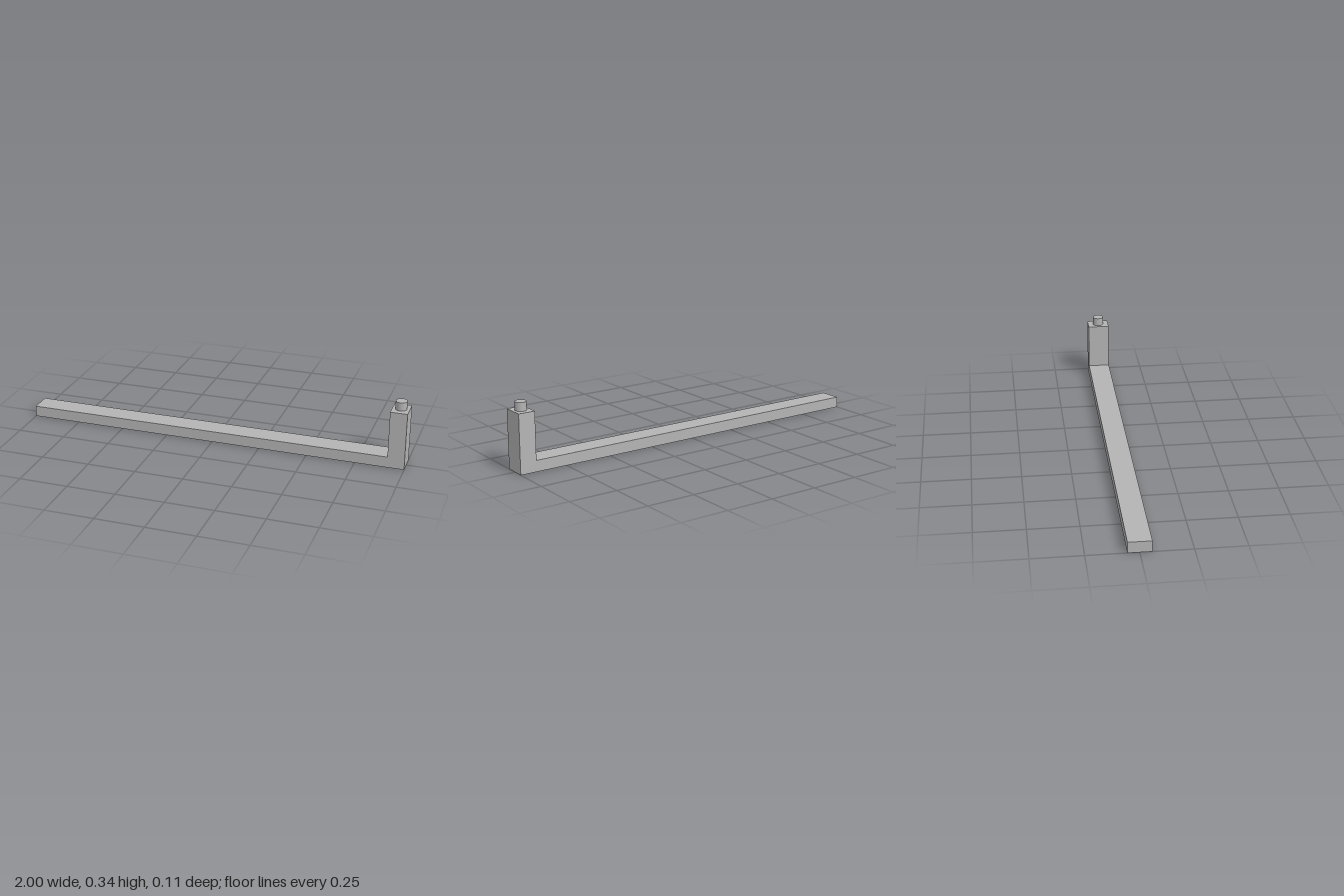
import * as THREE from 'three';

export function createModel() {
  const group = new THREE.Group();
  const grey = new THREE.MeshStandardMaterial({ color: 0xb4b4b4 });
  grey.name = 'plain grey';

  const depth = 0.114, barTop = 0.057, postTop = 0.3, postX = 0.914;

  // L-shaped body: long flat bar with an upright post at its left end
  const profile = new THREE.Shape([
    [-1, 0], [1, 0], [1, postTop], [postX, postTop], [postX, barTop], [-1, barTop],
  ].map(([x, y]) => new THREE.Vector2(x, y)));
  const bodyGeometry = new THREE.ExtrudeGeometry(profile, { depth, bevelEnabled: false });
  bodyGeometry.translate(0, 0, -depth / 2);
  const body = new THREE.Mesh(bodyGeometry, grey);
  body.name = 'barAndPost';
  group.add(body);

  // Round peg on top of the post
  const pegHeight = 0.043;
  const peg = new THREE.Mesh(new THREE.CylinderGeometry(0.0286, 0.0286, pegHeight, 48), grey);
  peg.name = 'peg';
  peg.position.set((1 + postX) / 2, postTop + pegHeight / 2, 0);
  group.add(peg);

  return group;
}
